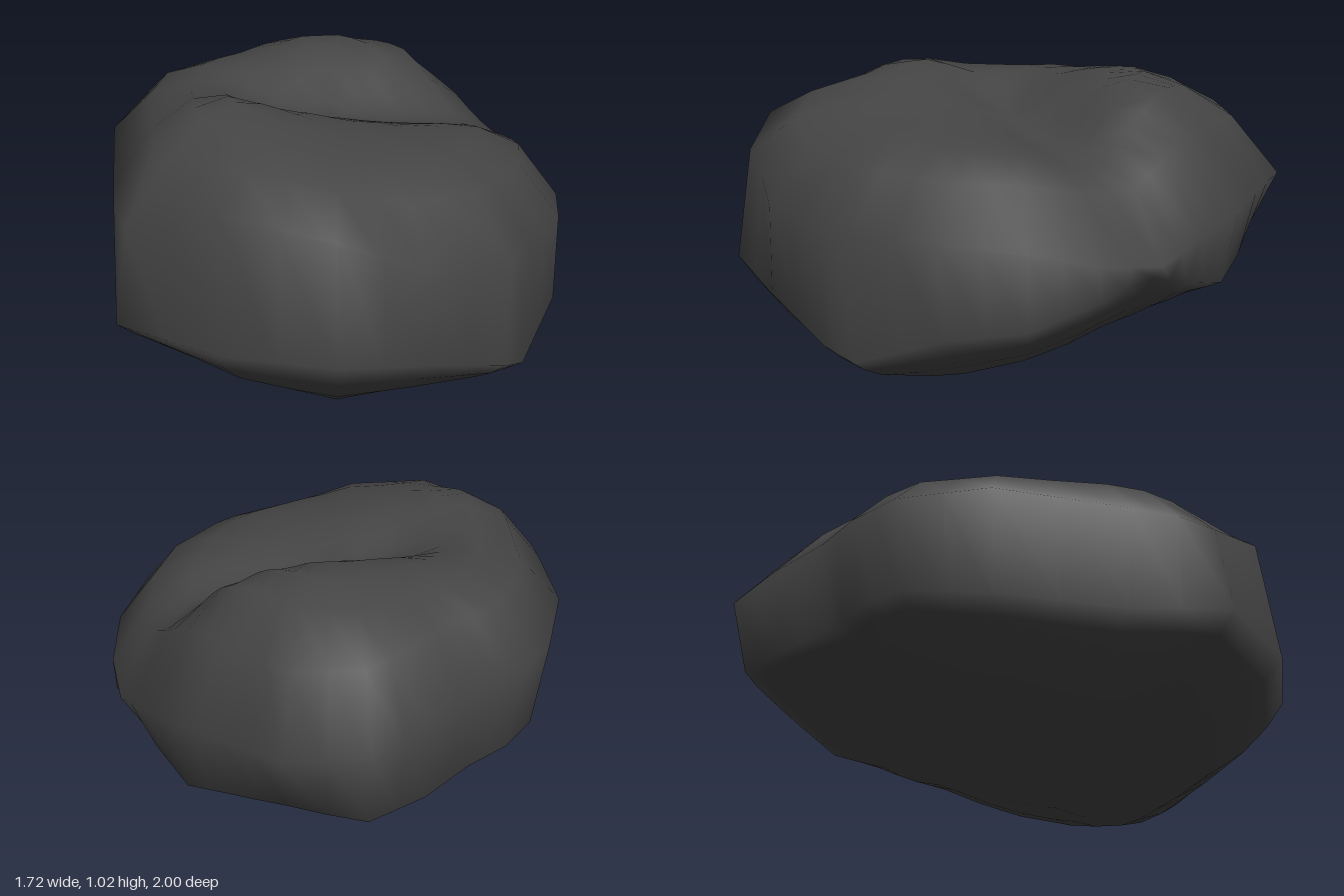
import * as THREE from 'three';
import { mergeVertices } from 'three/addons/utils/BufferGeometryUtils.js';

// Widest outline of the stone, clockwise from above:
// x, z, height of the lower rim, height of the upper rim
const OUTLINE = [
  [-0.26, -1.0, 0.39, 0.62], [0, -0.92, 0.36, 0.6], [0.2, -0.86, 0.31, 0.58], [0.4, -0.74, 0.36, 0.53],
  [0.56, -0.62, 0.42, 0.47], [0.71, -0.43, 0.38, 0.5], [0.81, -0.21, 0.3, 0.56], [0.86, 0.07, 0.27, 0.59],
  [0.81, 0.38, 0.16, 0.6], [0.77, 0.49, 0.2, 0.6], [0.56, 0.74, 0.3, 0.62], [0.32, 0.95, 0.36, 0.76],
  [-0.07, 1.0, 0.37, 0.83], [-0.47, 0.9, 0.37, 0.7], [-0.6, 0.6, 0.38, 0.74], [-0.8, 0.17, 0.41, 0.78],
  [-0.86, -0.15, 0.44, 0.76], [-0.82, -0.32, 0.42, 0.73], [-0.73, -0.47, 0.4, 0.71],
  [-0.65, -0.69, 0.38, 0.68], [-0.53, -0.91, 0.38, 0.65],
];

// Rings from centre to rim: share of the radius, share of the height beyond the rim
const TOP_RINGS = [[0, 1], [0.12, 1], [0.24, 0.98], [0.36, 0.95], [0.49, 0.9], [0.64, 0.81], [0.82, 0.58], [1, 0]];
const BOTTOM_RINGS = [[1, 0], [0.93, 0.28], [0.84, 0.54], [0.7, 0.8], [0.5, 0.93], [0.25, 1], [0, 1]];

const { clamp, smoothstep } = THREE.MathUtils;
const bump = (x, z, cx, cz, r) => Math.exp(-((x - cx) ** 2 + (z - cz) ** 2) / (r * r));

// Distance to the diagonal hollow across the top
function hollowDistance(x, z) {
  const ax = -0.2, az = 0.08, dx = 0.6, dz = -0.46;
  const t = clamp(((x - ax) * dx + (z - az) * dz) / (dx * dx + dz * dz), 0, 1);
  return Math.hypot(x - ax - t * dx, z - az - t * dz);
}

function topHeight(x, z) {
  return 0.97 - 0.08 * x
    + 0.08 * bump(x, z, -0.3, 0.43, 0.25)
    + 0.06 * bump(x, z, -0.18, -0.42, 0.3)
    + 0.09 * bump(x, z, 0.13, -0.58, 0.25)
    - 0.06 * bump(x, z, 0.28, -0.02, 0.35)
    - 0.11 * Math.exp(-((hollowDistance(x, z) / 0.19) ** 2));
}

const bottomHeight = (x, z) => 0.24 * Math.max(0, 0.2 - x) + 0.25 * Math.max(0, 0.1 - z);

// The upper rim leans in at the front, the lower rim at the back and on the left
const upperScale = (x, z) => 1 - 0.06 * smoothstep(z, 0.7, 0.93);
const lowerScale = (x, z) => 0.94 + 0.06 * smoothstep(x + z, -0.1, 0.4) - 0.05 * smoothstep(-z, 0.92, 1);

// Doubles the outline so the rings can follow the hollow
function denseOutline() {
  return OUTLINE.flatMap((p, i) => {
    const q = OUTLINE[(i + 1) % OUTLINE.length];
    return [p, p.map((v, k) => (v + q[k]) / 2)];
  });
}

function stoneGeometry() {
  const edge = denseOutline(), cols = edge.length;
  const pos = [], index = [];

  function addRing([s, f], heightAt, rimIndex, rimScale) {
    for (const point of edge) {
      const scale = s * rimScale(point[0], point[1]);
      const x = point[0] * scale, z = point[1] * scale, rim = point[rimIndex];
      pos.push(x, rim + (heightAt(x, z) - rim) * f, z);
    }
  }
  TOP_RINGS.forEach(r => addRing(r, topHeight, 3, upperScale));
  BOTTOM_RINGS.forEach(r => addRing(r, bottomHeight, 2, lowerScale));

  const rows = TOP_RINGS.length + BOTTOM_RINGS.length - 1;
  for (let i = 0; i < rows; i++) {
    for (let j = 0; j < cols; j++) {
      const k = (j + 1) % cols;
      const a = i * cols + j, b = i * cols + k, c = a + cols, d = b + cols;
      if (i > 0) index.push(a, b, c);
      if (i < rows - 1) index.push(b, d, c);
    }
  }
  let geo = new THREE.BufferGeometry();
  geo.setAttribute('position', new THREE.Float32BufferAttribute(pos, 3));
  geo.setIndex(index);
  geo = mergeVertices(geo, 1e-4);
  geo.computeBoundingBox();
  geo.translate(0, -geo.boundingBox.min.y, 0);
  geo.computeVertexNormals();
  return geo;
}

export function createModel() {
  const group = new THREE.Group();
  const stone = new THREE.Mesh(stoneGeometry(), new THREE.MeshStandardMaterial({ color: 0x444444 }));
  stone.name = 'stone';
  group.add(stone);
  return group;
}
